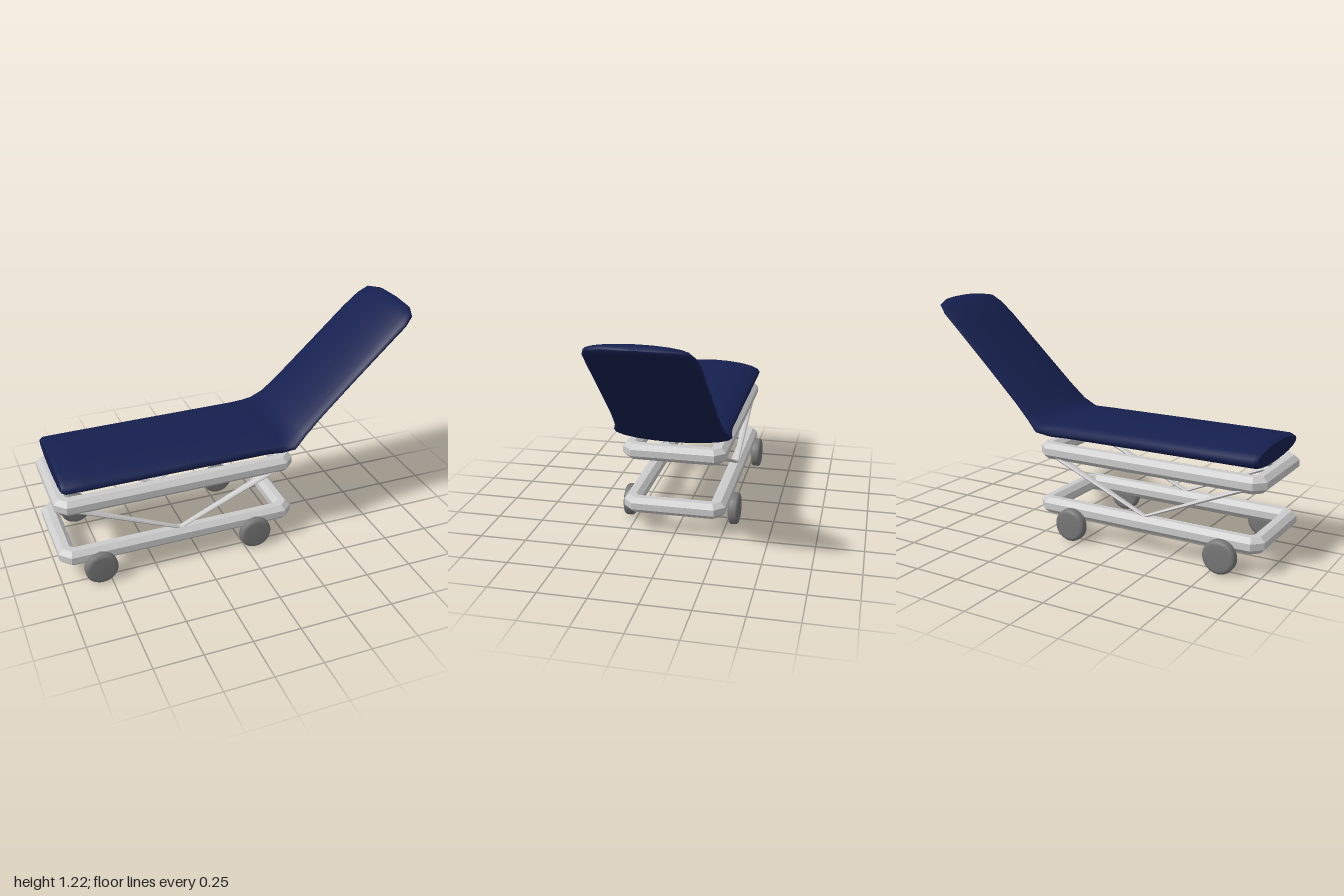
import * as THREE from 'three';

const metal = new THREE.MeshStandardMaterial({ color: 0xcccccc, flatShading: true });
const rubber = new THREE.MeshStandardMaterial({ color: 0x777777 });
const fabric = new THREE.MeshStandardMaterial({ color: 0x16204f });
const Z_MID = 0.006;

function add(parent, name, geometry, material) {
  const mesh = new THREE.Mesh(geometry, material);
  mesh.name = name;
  parent.add(mesh);
  return mesh;
}

// Skins a list of closed cross-sections; loop joins the last one to the first
function skin(rings, loop) {
  const n = rings[0].length;
  const index = [];
  for (let i = 0; i < rings.length - (loop ? 0 : 1); i++) {
    for (let j = 0; j < n; j++) {
      const a = i * n + j, b = i * n + (j + 1) % n;
      const next = ((i + 1) % rings.length) * n;
      const c = next + j, d = next + (j + 1) % n;
      index.push(a, c, d, a, d, b);
    }
  }
  const geometry = new THREE.BufferGeometry();
  geometry.setAttribute('position', new THREE.Float32BufferAttribute(rings.flat(2), 3));
  geometry.setIndex(index);
  geometry.computeVertexNormals();
  return geometry;
}

// Octagonal bar bent into a rectangle with clipped corners
function frameGeometry() {
  const r = 0.0425 / Math.cos(Math.PI / 8);
  const corners = Array.from({ length: 8 }, () => []);
  for (let k = 0; k < 8; k++) {
    const a = (k + 0.5) * Math.PI / 4;
    const d = r * Math.cos(a), y = r * Math.sin(a);
    const hx = 0.6025 + d, hz = 0.2325 + d, c = 0.028 + d * 0.586;
    const path = [
      [hx, hz - c], [hx, c - hz], [hx - c, -hz], [c - hx, -hz],
      [-hx, c - hz], [-hx, hz - c], [c - hx, hz], [hx - c, hz],
    ];
    path.forEach(([x, z], i) => corners[i].push([x, y, z]));
  }
  return skin(corners, true);
}

// Cushion sections: x, y, tilt, half width, half thickness
function cushionGeometry() {
  const rows = [
    [-0.962, 0.573, 0, 0, 0],
    [-0.962, 0.573, 0, 0.268, 0.045],
    [-0.962, 0.573, 0, 0.268, 0.045],
    [-0.942, 0.573, 0, 0.283, 0.0625],
    [-0.85, 0.573, 0, 0.285, 0.0625],
    [-0.3, 0.573, 0, 0.286, 0.0625],
    [0.13, 0.572, 0, 0.288, 0.0625],
    [0.21, 0.57, 0.1, 0.3, 0.06],
    [0.27, 0.577, 0.4, 0.312, 0.045],
    [0.335, 0.627, 0.72, 0.287, 0.038],
    [0.42, 0.707, 0.757, 0.277, 0.035],
    [0.6, 0.877, 0.757, 0.271, 0.036],
    [0.82, 1.083, 0.757, 0.266, 0.04],
    [0.9, 1.152, 0.757, 0.26, 0.041],
    [0.945, 1.19, 0.6, 0.238, 0.034],
    [0.977, 1.205, 0.5, 0.16, 0.019],
    [0.992, 1.207, 0.5, 0, 0],
  ];
  const sides = 20;
  return skin(rows.map(([x, y, tilt, w, h]) => {
    const ring = [];
    for (let j = 0; j < sides; j++) {
      const a = j / sides * Math.PI * 2;
      const s = h * Math.sin(a);
      ring.push([x - s * Math.sin(tilt), y + s * Math.cos(tilt), w * Math.cos(a)]);
    }
    return ring;
  }), false);
}

// Flattened bar, wider at its upper end
function addStrut(parent, name, x0, y0, x1, y1, z) {
  const length = Math.hypot(x1 - x0, y1 - y0);
  const geometry = new THREE.CylinderGeometry(0.025, 0.015, length, 8);
  geometry.scale(0.5, 1, 1);
  const strut = add(parent, name, geometry, metal);
  strut.position.set((x0 + x1) / 2, (y0 + y1) / 2, z);
  strut.rotation.z = Math.atan2(y1 - y0, x1 - x0) - Math.PI / 2;
}

export function createModel() {
  const model = new THREE.Group();
  model.name = 'adjustableBed';

  // Two matching frames
  const frame = frameGeometry();
  add(model, 'lowerFrame', frame, metal).position.set(-0.355, 0.154, Z_MID);
  add(model, 'upperFrame', frame, metal).position.set(-0.355, 0.458, Z_MID);

  // V-shaped lift struts on both sides
  for (const side of [-1, 1]) {
    const lift = new THREE.Group();
    lift.name = side > 0 ? 'frontLiftStruts' : 'backLiftStruts';
    model.add(lift);
    for (const end of [-1, 1]) {
      addStrut(lift, 'liftStrut', -0.355, 0.193, -0.355 + end * 0.54, 0.43, Z_MID + side * 0.237);
    }
  }

  // Four wheels with bevelled rims
  const profile = [[0, -0.029], [0.066, -0.028], [0.08, -0.024], [0.087, -0.014],
    [0.087, 0.014], [0.08, 0.024], [0.066, 0.028], [0, 0.029]];
  const wheelGeometry = new THREE.LatheGeometry(profile.map(p => new THREE.Vector2(...p)), 24);
  wheelGeometry.rotateX(Math.PI / 2);
  for (const x of [-0.8, 0.055]) {
    for (const side of [-1, 1]) {
      add(model, 'wheel', wheelGeometry, rubber).position.set(x, 0.088, side * 0.291);
    }
  }

  // One-piece mattress with raised backrest
  add(model, 'mattress', cushionGeometry(), fabric).position.z = Z_MID;
  return model;
}
